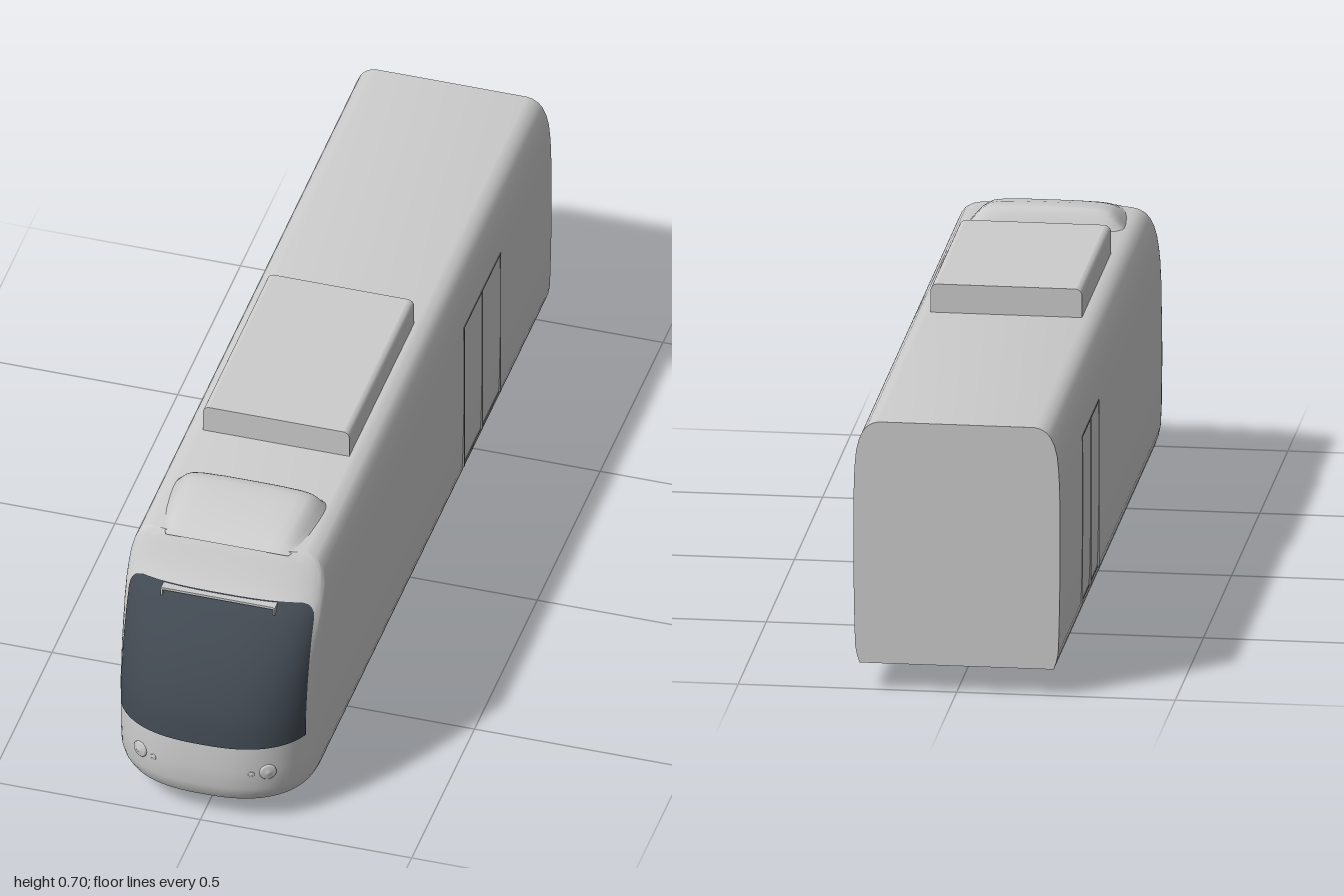
import * as THREE from 'three';
import { mergeGeometries, toCreasedNormals } from 'three/addons/utils/BufferGeometryUtils.js';

// Body levels: height, half width, nose tip z, nose depth
const LEVELS = [
  [0.062, 0.222, 0.984, 0.2], [0.08, 0.228, 0.994, 0.2], [0.1, 0.232, 0.999, 0.2],
  [0.15, 0.234, 1, 0.2], [0.215, 0.235, 0.996, 0.2], [0.26, 0.236, 0.992, 0.195],
  [0.3, 0.236, 0.984, 0.19], [0.35, 0.236, 0.966, 0.172], [0.4, 0.236, 0.942, 0.15],
  [0.45, 0.236, 0.911, 0.12], [0.5, 0.235, 0.872, 0.085], [0.535, 0.233, 0.84, 0.06],
  [0.565, 0.23, 0.82, 0.048], [0.59, 0.224, 0.805, 0.038], [0.61, 0.215, 0.794, 0.03],
  [0.622, 0.205, 0.787, 0.025], [0.63, 0.191, 0.782, 0.02], [0.633, 0.178, 0.78, 0.018],
];
const POWER = 2.5;
const BACK = -1;

function level(y) {
  let i = 0;
  while (i < LEVELS.length - 2 && LEVELS[i + 1][0] < y) i++;
  const a = LEVELS[i], b = LEVELS[i + 1];
  const t = (y - a[0]) / (b[0] - a[0]);
  return a.map((v, k) => v + (b[k] - v) * t);
}

// Front surface depth at a given x and y
function noseZ(x, y) {
  const [, w, tip, depth] = level(y);
  const r = Math.min(1, Math.abs(x) / w);
  return tip - depth * (1 - Math.pow(1 - Math.pow(r, POWER), 1 / POWER));
}

function noseNormal(x, y) {
  const e = 0.004;
  return new THREE.Vector3(
    -(noseZ(x + e, y) - noseZ(x - e, y)) / (2 * e),
    -(noseZ(x, y + e) - noseZ(x, y - e)) / (2 * e), 1).normalize();
}

// Surface through rows of [x, y, z] points
function grid(rows) {
  const n = rows[0].length, index = [];
  for (let r = 0; r < rows.length - 1; r++) {
    for (let c = 0; c < n - 1; c++) {
      const a = r * n + c, d = a + n;
      index.push(a, a + 1, d + 1, a, d + 1, d);
    }
  }
  const g = new THREE.BufferGeometry();
  g.setAttribute('position', new THREE.Float32BufferAttribute(rows.flat(2), 3));
  g.setIndex(index);
  g.computeVertexNormals();
  return g;
}

function bodyOutline([y, w, tip, depth]) {
  const pts = [[-w, y, BACK]], steps = 40;
  for (let i = 0; i <= steps; i++) {
    const a = (i / steps - 0.5) * Math.PI;
    const s = Math.sin(a), c = Math.max(0, Math.cos(a));
    pts.push([Math.sign(s) * w * Math.pow(Math.abs(s), 2 / POWER), y,
      tip - depth + depth * Math.pow(c, 2 / POWER)]);
  }
  pts.push([w, y, BACK]);
  return pts;
}

function bodyGeometry() {
  const rows = LEVELS.map(bodyOutline);
  const cap = (ring, up) => {
    const strip = [];
    for (let i = 0; i <= (ring.length - 1) / 2; i++) {
      const pair = [ring[i], ring[ring.length - 1 - i]];
      strip.push(up ? pair.reverse() : pair);
    }
    return grid(strip);
  };
  const back = grid(rows.map((r) => [r[r.length - 1], r[0]]));
  const parts = [grid(rows), cap(rows[0], false), cap(rows[rows.length - 1], true), back];
  return toCreasedNormals(mergeGeometries(parts), 0.6);
}

// Windscreen with rounded top corners
function windscreenGeometry() {
  const ys = [0.215, 0.26, 0.3, 0.35, 0.4, 0.45, 0.5, 0.513, 0.523, 0.53, 0.535];
  const half = (y) => {
    const t = Math.min(1, Math.max(0, (y - 0.5) / 0.035));
    return 0.189 + 0.03 * Math.sqrt(1 - t * t);
  };
  return grid(ys.map((y) => {
    const row = [];
    for (let i = 0; i <= 40; i++) {
      const x = half(y) * Math.sin((i / 40 - 0.5) * Math.PI);
      row.push([x, y, noseZ(x, y) + 0.004]);
    }
    return row;
  }));
}

// Fairing sections: z, half width, height
function fairingGeometry() {
  const sections = [[0.79, 0.145, 0], [0.765, 0.155, 0.012], [0.74, 0.163, 0.022], [0.7, 0.171, 0.034],
    [0.65, 0.177, 0.043], [0.62, 0.179, 0.046], [0.6, 0.179, 0.045], [0.588, 0.177, 0.036],
    [0.575, 0.17, 0.014], [0.568, 0.16, 0]];
  const half = [[1, 0], [0.93, 0.35], [0.86, 0.65], [0.78, 0.83], [0.65, 0.93], [0.35, 0.99]];
  const profile = [...half.map(([x, y]) => [-x, y]), [0, 1], ...half.slice().reverse()];
  return grid(sections.map(([z, w, h]) => profile.map(([x, y]) => [x * w, 0.631 + y * h, z])));
}

function roofUnitGeometry() {
  const w = 0.173, top = 0.07, c = 0.013;
  const s = new THREE.Shape();
  s.moveTo(-w, 0);
  s.lineTo(w, 0);
  s.lineTo(w, top - c);
  s.quadraticCurveTo(w - 0.002, top - 0.003, w - c, top);
  s.lineTo(-w + c, top);
  s.quadraticCurveTo(-w + 0.002, top - 0.003, -w, top - c);
  return new THREE.ExtrudeGeometry(s, { depth: 0.515, bevelEnabled: false });
}

export function createModel() {
  const group = new THREE.Group();
  const paint = new THREE.MeshStandardMaterial({ color: 0xcccccc });
  paint.name = 'light grey paint';
  const glass = new THREE.MeshStandardMaterial({ color: 0x424a53, side: THREE.DoubleSide });
  glass.name = 'dark glass';
  const seam = new THREE.MeshStandardMaterial({ color: 0x8a8a8a });
  seam.name = 'seam grey';

  const add = (name, geometry, material, x = 0, y = 0, z = 0) => {
    const m = new THREE.Mesh(geometry, material);
    m.name = name;
    m.position.set(x, y, z);
    group.add(m);
    return m;
  };
  const box = (name, size, pos, material = paint) =>
    add(name, new THREE.BoxGeometry(...size), material, ...pos);

  add('body', bodyGeometry(), paint);
  add('windscreen', windscreenGeometry(), glass);
  add('roofFairing', fairingGeometry(), paint);
  add('roofUnit', roofUnitGeometry(), paint, 0, 0.63, -0.118);

  // Wiper bar over the windscreen
  box('wiperBar', [0.27, 0.006, 0.022], [0, 0.53, 0.85]);

  // Wheel profile: radius, distance along the axle
  const wheelProfile = [[0, -0.014], [0.035, -0.016], [0.056, -0.01], [0.061, -0.008], [0.066, -0.003],
    [0.061, 0.002], [0.057, 0.014], [0.045, 0.016], [0, 0.016]].map((p) => new THREE.Vector2(...p));
  const wheel = toCreasedNormals(new THREE.LatheGeometry(wheelProfile, 32), 0.7);
  const lampProfile = [[0.022, -0.004], [0.022, 0.002], [0.018, 0.005], [0.012, 0.004], [0.007, 0.007],
    [0, 0.008]].map((p) => new THREE.Vector2(...p));
  const lamp = new THREE.LatheGeometry(lampProfile, 24);

  for (const side of [-1, 1]) {
    box('wiperBarEnd', [0.004, 0.02, 0.022], [side * 0.133, 0.523, 0.852]);

    // Headlamps
    for (const [x, y, scale] of [[0.151, 0.148, 0.9], [0.116, 0.144, 0.34]]) {
      const m = add('headlamp', lamp, paint, side * x, y, noseZ(x, y));
      m.scale.setScalar(scale);
      m.quaternion.setFromUnitVectors(new THREE.Vector3(0, 1, 0), noseNormal(side * x, y));
    }

    // Double door seams
    for (const z of [-0.305, -0.45, -0.595])
      box('doorSeam', [0.005, 0.395, 0.004], [side * 0.2345, 0.2975, z], seam);
    for (const y of [0.102, 0.495])
      box('doorSeam', [0.005, 0.004, 0.294], [side * (y < 0.2 ? 0.231 : 0.2338), y, -0.45], seam);

    // Wheels and bogie side rails
    for (const z of [0.525, 0.135])
      add('wheel', wheel, paint, side * 0.161, 0.066, z).rotation.z = -side * Math.PI / 2;
    box('bogieRail', [0.008, 0.008, 0.39], [side * 0.14, 0.061, 0.33]);
  }

  // Axles
  for (const z of [0.525, 0.135])
    add('axle', new THREE.CylinderGeometry(0.009, 0.009, 0.3, 12), paint, 0, 0.066, z).rotation.z = Math.PI / 2;

  return group;
}
